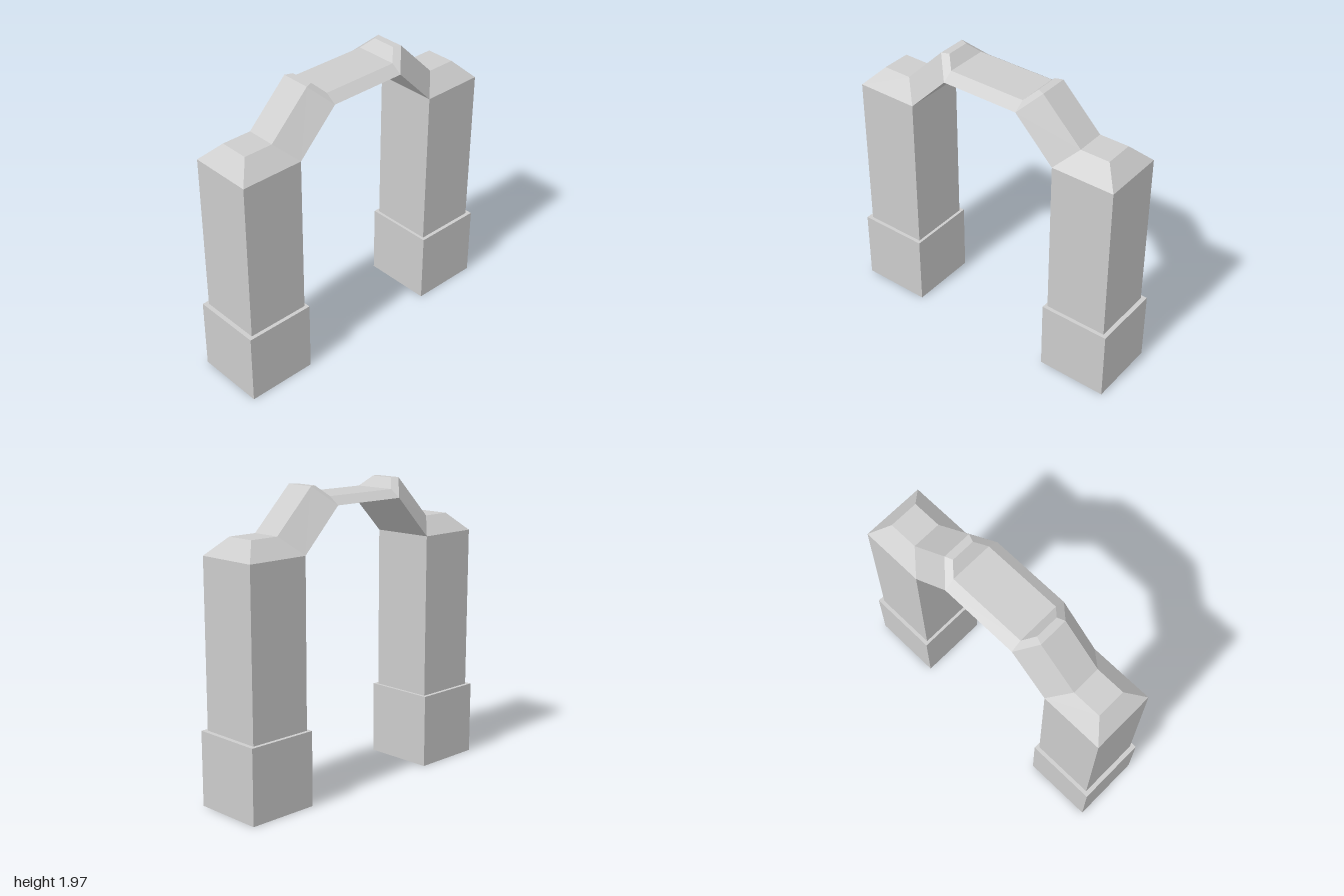
import * as THREE from 'three';

const stone = new THREE.MeshStandardMaterial({ color: 0xcccccc });
stone.name = 'grey stone';

// Four-cornered cross-section: lower and upper edge, each as [half width, y, z]
function section([bx, by, bz], [tx, ty, tz]) {
  return [
    new THREE.Vector3(-bx, by, bz), new THREE.Vector3(bx, by, bz),
    new THREE.Vector3(tx, ty, tz), new THREE.Vector3(-tx, ty, tz),
  ];
}

// Flat-faced skin through sections that run from +z towards -z
function loft(name, sections, closeFront = false) {
  const points = [];
  const triangle = (a, b, c) => {
    if (new THREE.Triangle(a, b, c).getArea() > 1e-6) points.push(a, b, c);
  };
  const quad = (a, b, c, d) => { triangle(a, b, c); triangle(a, c, d); };
  for (let i = 0; i < sections.length - 1; i++) {
    const s = sections[i], t = sections[i + 1];
    for (let k = 0; k < 4; k++) {
      const n = (k + 1) % 4;
      quad(s[k], t[k], t[n], s[n]);
    }
  }
  if (closeFront) quad(...sections[0]);
  const geometry = new THREE.BufferGeometry().setFromPoints(points);
  geometry.computeVertexNormals();
  const mesh = new THREE.Mesh(geometry, stone);
  mesh.name = name;
  return mesh;
}

function block(name, width, depth, y0, y1, z) {
  const mesh = new THREE.Mesh(new THREE.BoxGeometry(width, y1 - y0, depth), stone);
  mesh.name = name;
  mesh.position.set(0, (y0 + y1) / 2, z);
  return mesh;
}

// Shared sections of the arch
const springer = [0.215, 1.575, 0.54];
const elbow = [0.215, 1.85, 0.27];
const capEnd = section([0.215, 1.575, 0.97], [0.1, 1.69, 0.86]);
const capInner = section(springer, [0.1, 1.69, 0.66]);
const armTop = section(elbow, [0.1, 1.965, 0.385]);
const crest = section(elbow, [0.08, 1.965, 0.335]);
const bridgeEnd = section(elbow, [0.145, 1.9, 0.27]);
const bridgeFarEnd = section([0.215, 1.85, -0.27], [0.145, 1.9, -0.27]);

// One pillar with its cap and sloping arm
function createSide(name) {
  const side = new THREE.Group();
  side.name = name;
  side.add(
    block('plinth', 0.48, 0.48, 0, 0.49, 0.76),
    block('shaft', 0.43, 0.43, 0.49, 1.575, 0.755),
    loft('cap', [capEnd, capInner], true),
    loft('slopingArm', [capInner, armTop]),
    loft('armCrest', [armTop, crest, bridgeEnd]),
  );
  return side;
}

export function createModel() {
  const model = new THREE.Group();
  model.name = 'archway';
  const front = createSide('frontPillar');
  const back = createSide('backPillar');
  back.rotation.y = Math.PI;
  model.add(front, back, loft('bridge', [bridgeEnd, bridgeFarEnd]));
  return model;
}
